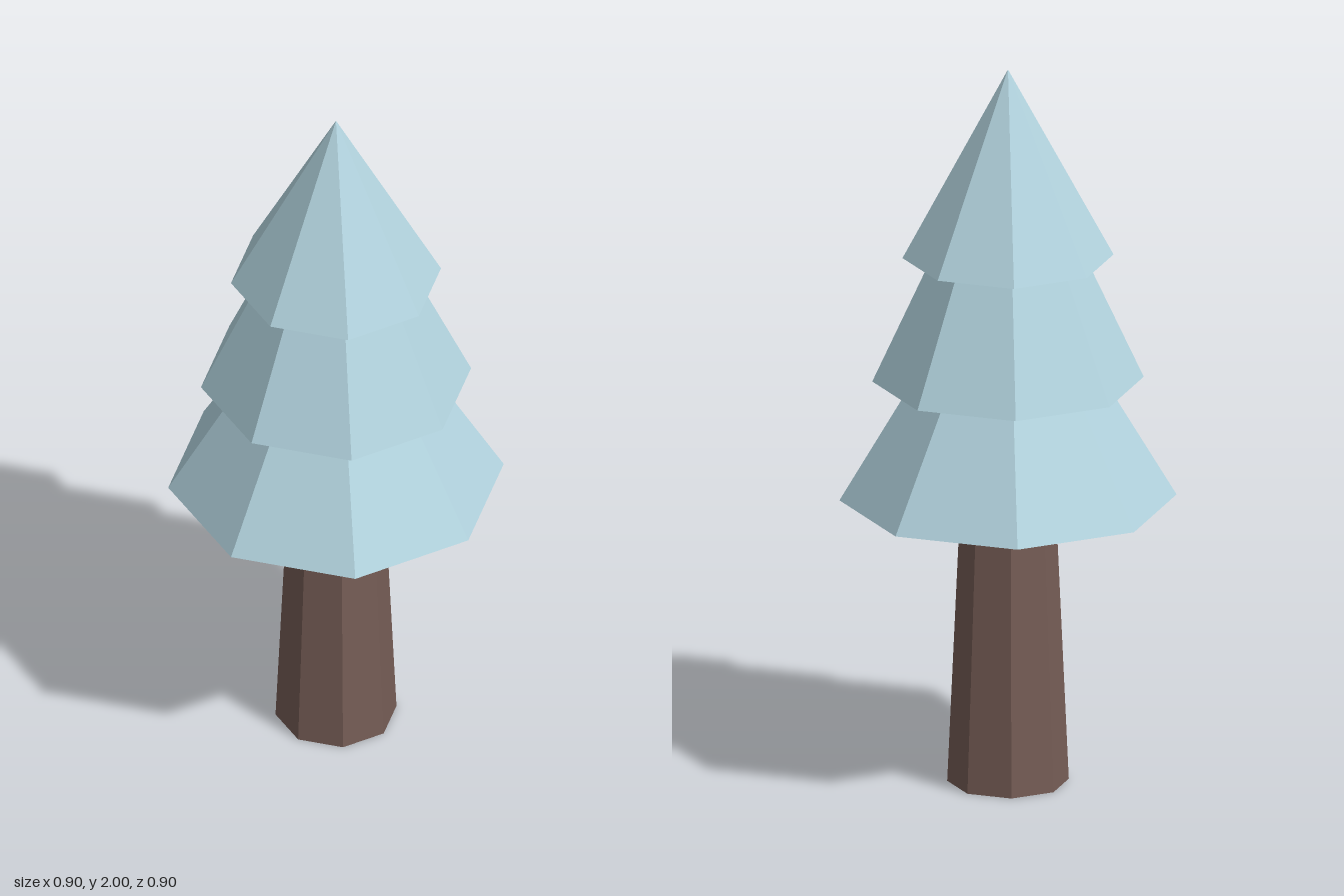
import * as THREE from 'three';

const SIDES = 8;

export function createModel() {
  const tree = new THREE.Group();
  tree.name = 'pineTree';

  const foliage = new THREE.MeshStandardMaterial({ color: 0xb2d3de, flatShading: true });
  foliage.name = 'frostyBlue';
  const bark = new THREE.MeshStandardMaterial({ color: 0x765d56, flatShading: true });
  bark.name = 'barkBrown';

  // Eight-sided tapered solid standing on height y
  const addTier = (name, topRadius, bottomRadius, y, height, material) => {
    const geometry = new THREE.CylinderGeometry(topRadius, bottomRadius, height, SIDES);
    geometry.translate(0, y + height / 2, 0);
    const mesh = new THREE.Mesh(geometry, material);
    mesh.name = name;
    tree.add(mesh);
  };

  // Trunk
  addTier('trunk', 0.127, 0.163, 0, 0.8, bark);

  // Overlapping foliage cones, with a slim tapered rim under the lowest
  addTier('foliageRim', 0.452, 0.43, 0.788, 0.007, foliage);
  addTier('lowerFoliage', 0, 0.452, 0.795, 0.76, foliage);
  addTier('middleFoliage', 0, 0.364, 1.128, 0.79, foliage);
  addTier('upperFoliage', 0, 0.283, 1.474, 0.526, foliage);

  return tree;
}
